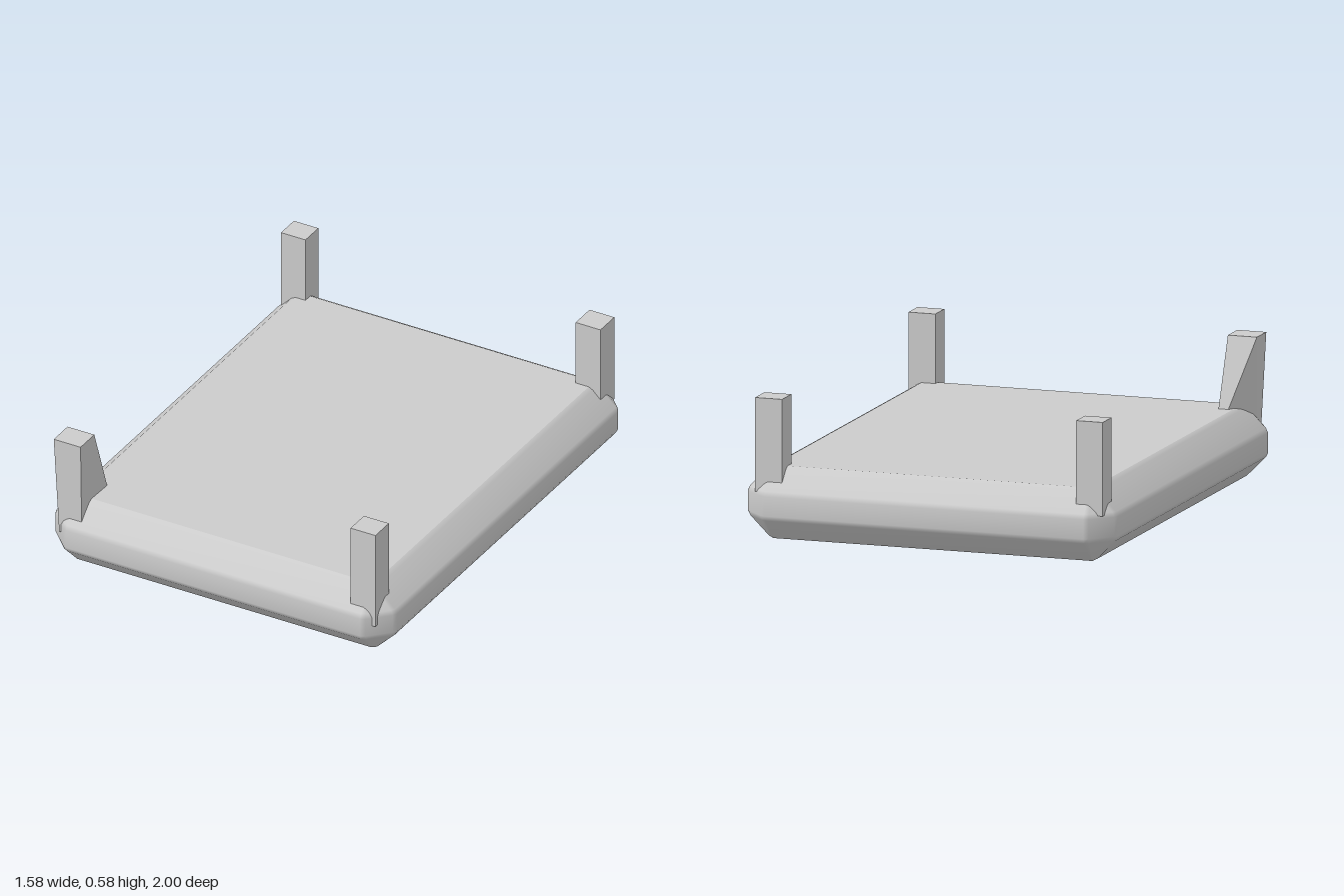
import * as THREE from 'three';

const CORE_X = 0.68, CORE_Z = 0.89, BEVEL = 0.11, HEIGHT = 0.3;
// Softened chamfer: outward offset and rise, as fractions of the bevel
const CHAMFER = [[1, 0], [0.91, 0.18], [0.18, 0.91], [0, 1]];

// Plan outline: a rectangle with softened corners of the given radius
function outline(r) {
  const pts = [];
  [[1, 1], [-1, 1], [-1, -1], [1, -1]].forEach(([sx, sz], i) => {
    const corner = CHAMFER.map(([a, b]) => [sx * (CORE_X + a * r), sz * (CORE_Z + b * r)]);
    pts.push(...(i % 2 ? corner.reverse() : corner));
  });
  return pts;
}

// Slab rim: plan outlines stacked from the bottom bevel to the top bevel
function rimGeometry() {
  const levels = [
    ...CHAMFER.map(([a, b]) => [a * BEVEL, BEVEL - b * BEVEL]).reverse(),
    ...CHAMFER.map(([a, b]) => [a * BEVEL, HEIGHT - BEVEL + b * BEVEL]),
  ];
  const pos = [], index = [], n = 16;
  levels.forEach(([r, y], k) => {
    outline(r).forEach(([x, z], i) => {
      pos.push(x, y, z);
      if (k === 0) return;
      const j = (i + 1) % n, a = (k - 1) * n + i, b = (k - 1) * n + j;
      index.push(a, a + n, b, b, a + n, b + n);
    });
  });
  const g = new THREE.BufferGeometry();
  g.setAttribute('position', new THREE.Float32BufferAttribute(pos, 3));
  g.setIndex(index);
  g.computeVertexNormals();
  return g;
}

// Square post between two opposite corners
function postGeometry([x0, x1], [y0, y1], [z0, z1]) {
  return new THREE.BoxGeometry(x1 - x0, y1 - y0, z1 - z0)
    .translate((x0 + x1) / 2, (y0 + y1) / 2, (z0 + z1) / 2);
}

export function createModel() {
  const group = new THREE.Group();
  const smooth = new THREE.MeshStandardMaterial({ color: 0xcccccc });
  const flat = new THREE.MeshStandardMaterial({ color: 0xcccccc, flatShading: true });
  const add = (name, geometry, material) => {
    const mesh = new THREE.Mesh(geometry, material);
    mesh.name = name;
    group.add(mesh);
    return mesh;
  };

  // Slab: bevelled rim with flat top and bottom
  add('slabRim', rimGeometry(), smooth);
  for (const [name, y, turn] of [['slabTop', HEIGHT, -1], ['slabBottom', 0, 1]]) {
    const cap = add(name, new THREE.PlaneGeometry(2 * CORE_X, 2 * CORE_Z), flat);
    cap.rotation.x = turn * Math.PI / 2;
    cap.position.y = y;
  }

  // Three straight corner posts
  add('frontLeftPost', postGeometry([0.62, 0.735], [0.155, 0.585], [0.862, 0.97]), flat);
  add('backLeftPost', postGeometry([0.62, 0.735], [0.2, 0.585], [-0.957, -0.845]), flat);
  add('backRightPost', postGeometry([-0.748, -0.635], [0.2, 0.585], [-0.957, -0.853]), flat);

  // Skewed post: its foot narrows outside and stretches inwards
  const skewed = postGeometry([-0.752, -0.628], [0.155, 0.585], [0.862, 0.973]);
  const p = skewed.attributes.position;
  for (let i = 0; i < p.count; i++) {
    if (p.getY(i) > 0.4) continue;
    const inner = p.getX(i) > -0.7, back = p.getZ(i) < 0.9;
    p.setX(i, inner ? (back ? -0.617 : -0.625) : -0.73);
    if (back) p.setZ(i, inner ? 0.725 : 0.92);
    else p.setZ(i, 0.968);
  }
  add('frontRightPost', skewed, flat);

  return group;
}
